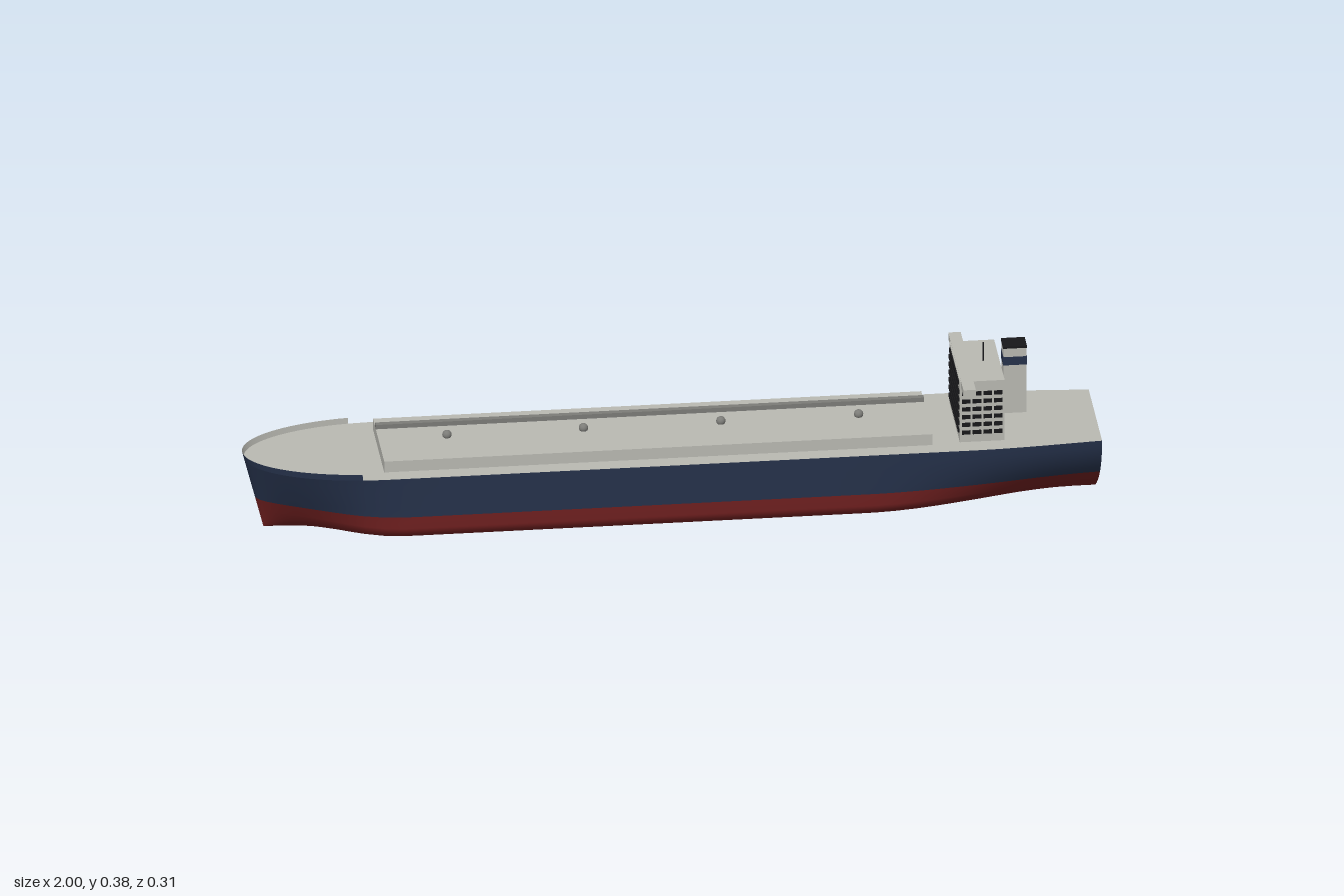
import * as THREE from 'three';

const DECK = 0.18, RAIL = 0.195;
const mat = (name, color, side = THREE.FrontSide) => {
  const m = new THREE.MeshStandardMaterial({ color, side });
  m.name = name;
  return m;
};
const smooth = THREE.MathUtils.smoothstep;
const lerp = THREE.MathUtils.lerp;

// Half-breadth of the deck at station u
function beam(u) {
  if (u < -0.68) return 0.155 * Math.sqrt(Math.max(0, 1 - ((u + 0.68) / 0.32) ** 2));
  return 0.155 - 0.018 * smooth(u, 0.7, 1.15) / smooth(1, 0.7, 1.15);
}

// Point on the hull side: full amidships, V-shaped at bow and stern
function hullPoint(u, y, side) {
  const h = Math.min(1, y / DECK);
  const mid = Math.sqrt(1 - (1 - Math.min(1, y / 0.05)) ** 2.5);
  const bow = Math.pow(h, 0.7);
  const stern = 1 - (1 - h) ** 2;
  let f = lerp(bow, mid, smooth(u, -1, -0.62));
  f = lerp(f, stern, smooth(u, 0.45, 1));
  const rake = 0.05 * (1 - y / RAIL) * (1 - smooth(u, -1, -0.6));
  return [u + rake, y, side * beam(u) * f];
}

// Surface through a grid of points; its front faces da x db
function grid(as, bs, fn, flip = false) {
  const pos = [], idx = [], n = bs.length;
  as.forEach(a => bs.forEach(b => pos.push(...fn(a, b))));
  for (let i = 0; i < as.length - 1; i++) {
    for (let j = 0; j < n - 1; j++) {
      const p = i * n + j, q = p + n;
      if (flip) idx.push(p, q + 1, q, p, p + 1, q + 1);
      else idx.push(p, q, q + 1, p, q + 1, p + 1);
    }
  }
  const g = new THREE.BufferGeometry();
  g.setAttribute('position', new THREE.Float32BufferAttribute(pos, 3));
  g.setIndex(idx);
  g.computeVertexNormals();
  return g;
}

export function createModel() {
  const ship = new THREE.Group();
  ship.name = 'cargoShip';
  const navy = mat('navy hull', 0x25314a);
  const red = mat('red bottom', 0x6e1f1f);
  const grey = mat('light grey', 0xb9b9b2);
  const dark = mat('dark grey', 0x7c7c78);
  const black = mat('black', 0x17171a);

  const add = (name, geometry, material, parent = ship) => {
    const m = new THREE.Mesh(geometry, material);
    m.name = name;
    parent.add(m);
    return m;
  };
  // Box given by its minimum and maximum corners
  const box = (name, [x0, y0, z0], [x1, y1, z1], material, parent) => {
    const m = add(name, new THREE.BoxGeometry(x1 - x0, y1 - y0, z1 - z0), material, parent);
    m.position.set((x0 + x1) / 2, (y0 + y1) / 2, (z0 + z1) / 2);
    return m;
  };

  // Hull stations, closer together at the rounded bow
  const bowStations = [], rest = [];
  for (let i = 0; i <= 20; i++) bowStations.push(-1 + 0.265 * (i / 20) ** 2);
  for (let i = 1; i <= 36; i++) rest.push(-0.735 + 1.735 * i / 36);
  const stations = [...bowStations, ...rest];
  const lowRows = [0, 0.002, 0.005, 0.01, 0.017, 0.025, 0.035, 0.045, 0.05, 0.065, 0.08];
  const highRows = [0.08, 0.1, 0.12, 0.14, 0.16, 0.18];

  // Hull sides, with a bulwark around the bow
  for (const s of [1, -1]) {
    const side = s > 0 ? 'left' : 'right';
    const fn = (u, y) => hullPoint(u, y, s);
    add(side + 'Bottom', grid(stations, lowRows, fn, s < 0), red);
    add(side + 'Topside', grid(stations, highRows, fn, s < 0), navy);
    add(side + 'Bulwark', grid(bowStations, [DECK, RAIL], fn, s < 0), navy);
    add(side + 'BulwarkInside', grid(bowStations, [DECK, RAIL], fn, s > 0), grey);
  }
  add('transom', grid([...lowRows, ...highRows.slice(1)], [-1, 1], (y, s) => hullPoint(1, y, s)), navy);
  add('deck', grid([-1, 1], stations, (s, u) => hullPoint(u, DECK, s)), grey);

  // Raised cargo trunk with its pipe and vents
  box('cargoTrunk', [-0.68, 0.18, -0.115], [0.605, 0.208, 0.115], grey);
  box('deckPipe', [-0.68, 0.206, -0.072], [0.605, 0.219, -0.058], dark);
  for (const x of [-0.52, -0.2, 0.122, 0.445]) {
    add('vent', new THREE.SphereGeometry(0.011, 14, 10), dark).position.set(x, 0.214, 0);
  }

  // Deckhouse with bridge wings
  const house = new THREE.Group();
  house.name = 'deckhouse';
  ship.add(house);
  box('houseBlock', [0.67, 0.18, -0.108], [0.775, 0.336, 0.108], grey, house);
  box('bridgeWings', [0.673, 0.32, -0.155], [0.702, 0.337, 0.155], grey, house);
  for (let row = 0; row < 6; row++) {
    const y = 0.2 + row * 0.02;
    for (let i = 0; i < 10; i++) {
      const z = -0.09 + i * 0.02;
      box('frontWindow', [0.667, y, z - 0.007], [0.671, y + 0.01, z + 0.007], black, house);
    }
    for (const s of [1, -1]) {
      for (let i = 0; i < 4; i++) {
        const x = 0.685 + i * 0.025;
        const w = box('sideWindow', [x - 0.01, y, 0.107], [x + 0.01, y + 0.01, 0.11], black, house);
        w.position.z *= s;
      }
    }
  }
  box('bridgeWindow', [0.667, 0.32, -0.088], [0.671, 0.331, 0.088], black, house);
  add('mast', new THREE.CylinderGeometry(0.002, 0.002, 0.047, 8), black, house).position.set(0.737, 0.3595, 0);

  // Funnel with a band and a cap
  const funnel = new THREE.Group();
  funnel.name = 'funnel';
  ship.add(funnel);
  box('funnelBody', [0.782, 0.208, -0.023], [0.836, 0.376, 0.023], grey, funnel);
  box('funnelBand', [0.781, 0.332, -0.024], [0.837, 0.353, 0.024], navy, funnel);
  box('funnelCap', [0.781, 0.375, -0.024], [0.837, 0.38, 0.024], black, funnel);

  return ship;
}
